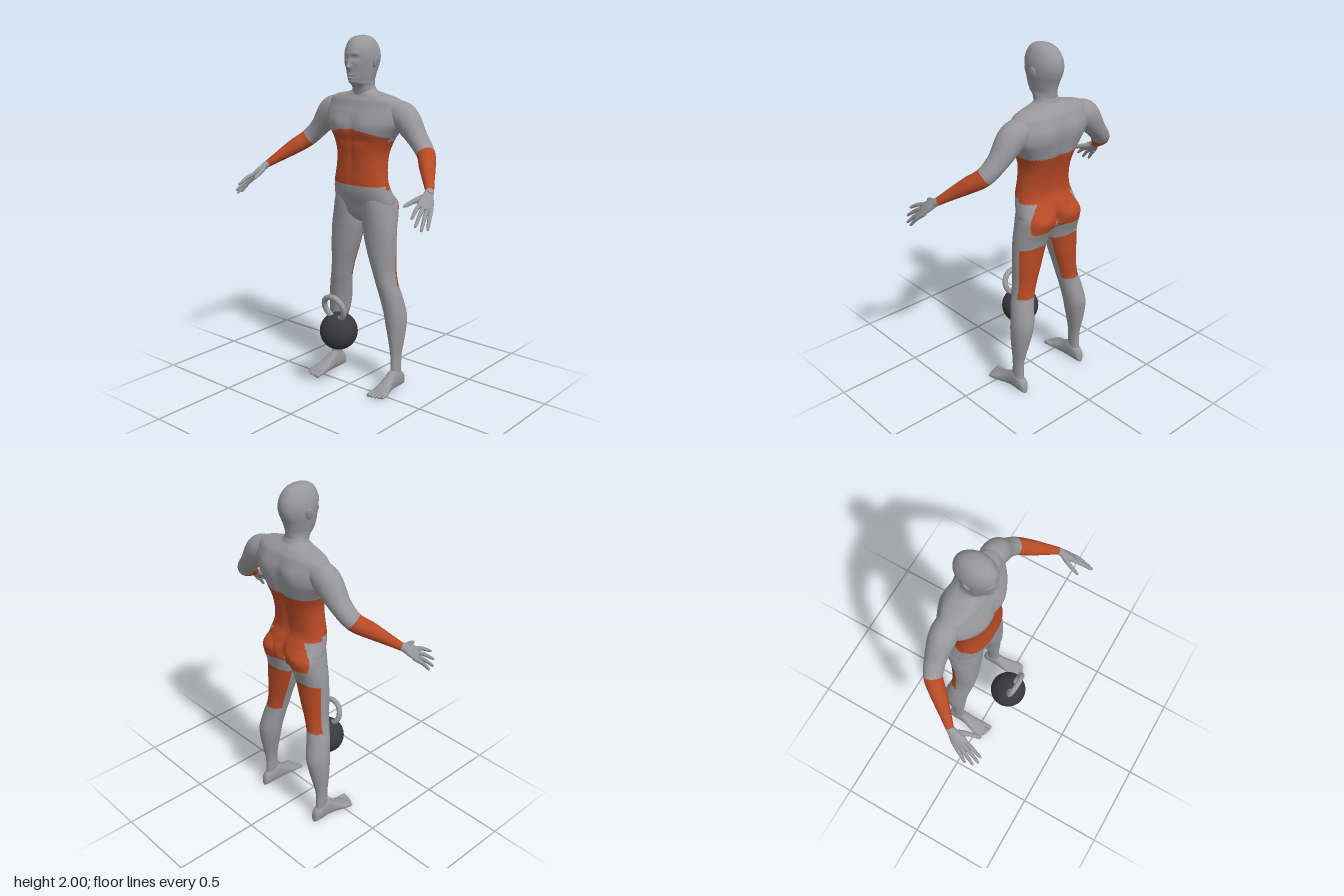
import * as THREE from 'three';

const skin = new THREE.MeshStandardMaterial({ color: 0x98989b, name: 'greySkin' });
const red = new THREE.MeshStandardMaterial({ color: 0xb84a26, name: 'redMuscle' });
const iron = new THREE.MeshStandardMaterial({ color: 0x3a3a3e, name: 'darkIron' });
const steel = new THREE.MeshStandardMaterial({ color: 0x9c9c9e, name: 'handleSteel' });

const V = (x, y, z) => new THREE.Vector3(x, y, z);
const gauss = (d, s) => Math.exp(-(d * d) / (s * s));
const spow = (v, n) => Math.sign(v) * Math.abs(v) ** (2 / n);

// Catmull-Rom sample of a table of rows at row position t
function sample(rows, t) {
  const i = Math.min(Math.floor(t), rows.length - 2), f = t - i;
  const row = k => rows[Math.max(0, Math.min(rows.length - 1, k))];
  const [a, b, c, d] = [row(i - 1), row(i), row(i + 1), row(i + 2)];
  return b.map((_, k) => b[k] + 0.5 * f * (c[k] - a[k]
    + f * (2 * a[k] - 5 * b[k] + 4 * c[k] - d[k] + f * (3 * (b[k] - c[k]) + d[k] - a[k]))));
}

// Skin rings placed by frame(row, t); u x v must point along the loft
function loft(rows, frame, { seg = 48, steps = 8, shape, paint } = {}) {
  const pos = [], ts = [], lists = [[], []];
  const count = (rows.length - 1) * steps;
  const ends = [];
  for (let k = 0; k <= count; k++) {
    const t = k / steps, { c, u, v, n = 2, taper = 0 } = frame(sample(rows, t), t);
    if (k === 0 || k === count) ends.push(c);
    for (let j = 0; j < seg; j++) {
      const a = j / seg * Math.PI * 2, s = Math.sin(a);
      const w = spow(Math.cos(a), n) * (1 - taper * Math.max(0, s));
      const p = c.clone().addScaledVector(u, w).addScaledVector(v, spow(s, n));
      if (shape) shape(p, s);
      pos.push(p.x, p.y, p.z);
      ts.push(t);
    }
  }
  for (const e of ends) { pos.push(e.x, e.y, e.z); ts.push(0); }
  const tri = (...ids) => {
    const mid = V(0, 0, 0);
    let t = 0;
    for (const i of ids) { mid.add(V(pos[3 * i], pos[3 * i + 1], pos[3 * i + 2])); t += ts[i] / 3; }
    lists[paint && paint(mid.divideScalar(3), t) ? 1 : 0].push(...ids);
  };
  const first = (count + 1) * seg, last = count * seg;
  for (let j = 0; j < seg; j++) {
    const m = (j + 1) % seg;
    for (let k = 0; k < count; k++) {
      const a = k * seg + j, b = k * seg + m;
      tri(a, b, b + seg);
      tri(a, b + seg, a + seg);
    }
    tri(first, m, j);
    tri(first + 1, last + j, last + m);
  }
  const g = new THREE.BufferGeometry();
  g.setAttribute('position', new THREE.Float32BufferAttribute(pos, 3));
  g.setIndex([...lists[0], ...lists[1]]);
  g.addGroup(0, lists[0].length, 0);
  g.addGroup(lists[0].length, lists[1].length, 1);
  g.computeVertexNormals();
  return g;
}

// Upright body part: rows of [y, half width, front z, back z, squareness, front taper, centre x]
const upright = ([y, hw, zf, zb, n = 2, taper = 0, cx = 0]) => ({
  c: V(cx, y, (zf + zb) / 2), u: V(hw, 0, 0), v: V(0, 0, (zf - zb) / 2), n, taper });

// Limb along a path: rows of [x, y, z, radius across, radius through]
function limb(rows, across, opts) {
  const at = t => V(...sample(rows, Math.max(0, Math.min(rows.length - 1, t))));
  return loft(rows, ([x, y, z, ru, rv], t) => {
    const dir = at(t + 0.05).sub(at(t - 0.05)).normalize();
    const u = across.clone().addScaledVector(dir, -across.dot(dir)).normalize();
    return { c: V(x, y, z), u: u.clone().multiplyScalar(ru), v: dir.cross(u).multiplyScalar(rv) };
  }, opts);
}

function mirrored(g) {
  const m = g.clone().scale(-1, 1, 1), id = m.index.array;
  for (let i = 0; i < id.length; i += 3) [id[i], id[i + 1]] = [id[i + 1], id[i]];
  m.computeVertexNormals();
  return m;
}

// Red zones
const buttock = p => p.y > 1.01 && p.y < 1.2 && p.z < -0.19 - 0.15 * (1.16 - p.y);
const waist = p => p.y > (p.z > -0.1 ? 1.19 : 1.17)
  && p.y < (p.z > -0.1 ? 1.5 - 1.1 * p.x * p.x : 1.435);
const hamstring = p => p.z < -0.145 && p.y > 0.61 && p.y < 0.92 - 1.5 * (p.x - 0.12) ** 2;

export function createModel() {
  const model = new THREE.Group();
  const add = (name, geometry, material = skin) => {
    const mesh = new THREE.Mesh(geometry, material);
    mesh.name = name;
    model.add(mesh);
    return mesh;
  };
  const pair = (name, g, material = skin) => {
    add('left' + name, g, material);
    add('right' + name, mirrored(g), material);
  };

  // Torso with chest, spine groove and buttock cleft
  const torso = [
    [1.74, .058, -.062, -.176, 2], [1.705, .072, -.065, -.19, 2], [1.69, .12, -.065, -.205, 2],
    [1.675, .19, -.06, -.22, 2], [1.655, .235, -.048, -.238, 2], [1.62, .255, -.035, -.252, 2],
    [1.58, .262, -.018, -.263, 2.1], [1.53, .248, -.004, -.263, 2.3], [1.48, .212, 0, -.254, 2.4],
    [1.43, .18, -.004, -.243, 2.4], [1.36, .157, -.01, -.22, 2.4], [1.28, .158, -.01, -.2, 2.4],
    [1.2, .17, -.006, -.195, 2.4], [1.14, .182, -.012, -.222, 2.4], [1.08, .192, -.03, -.25, 2.3],
    [1.02, .175, -.045, -.238, 2.1], [.985, .1, -.07, -.19, 2], [.965, .03, -.1, -.16, 2]];
  add('torso', loft(torso, upright, {
    seg: 112, steps: 7, paint: p => waist(p) || buttock(p),
    shape: (p, s) => {
      const x = Math.abs(p.x);
      if (s < 0) {
        p.z -= s * (.016 * gauss(x, .03) * gauss(p.y - 1.38, .22) + .045 * gauss(x, .022) * gauss(p.y - 1.05, .06));
        p.z += s * .01 * gauss(x - .1, .05) * gauss(p.y - 1.57, .07);
      } else {
        p.z += s * (.01 * gauss(x - .09, .06) * gauss(p.y - 1.52, .05) - .007 * gauss(x, .015) * gauss(p.y - 1.42, .16));
        p.z -= s * .007 * gauss(x - .07, .07) * gauss(p.y - 1.44, .025);
      }
    },
  }), [skin, red]);

  // Head and neck with brow, eye sockets, nose, lips and chin
  const head = [
    [2, .004, -.09, -.11, 2, 0], [1.995, .03, -.055, -.145, 2, 0], [1.985, .047, -.03, -.17, 2, 0],
    [1.965, .063, -.01, -.195, 2, 0], [1.93, .077, .006, -.216, 2, 0], [1.89, .083, .01, -.222, 2.1, .05],
    [1.85, .081, .007, -.215, 2.1, .12], [1.81, .074, .004, -.198, 2.1, .22], [1.78, .068, .001, -.188, 2.1, .3],
    [1.76, .064, -.003, -.184, 2, .35], [1.747, .063, -.014, -.182, 2, .3], [1.735, .062, -.037, -.181, 2, .15],
    [1.72, .062, -.053, -.18, 2, 0], [1.68, .066, -.065, -.185, 2, 0], [1.62, .07, -.08, -.2, 2, 0]];
  // [x, y, spread x, spread y, height]
  const face = [[0, 1.836, .013, .012, .019], [0, 1.858, .009, .022, .012], [.03, 1.884, .017, .011, -.013],
    [.031, 1.884, .009, .006, .007], [.03, 1.908, .024, .009, .004], [0, 1.793, .022, .006, .006],
    [0, 1.776, .02, .006, .006], [0, 1.784, .024, .003, -.005], [0, 1.755, .02, .01, .006], [.045, 1.853, .018, .014, .004]];
  add('head', loft(head, upright, {
    seg: 96, steps: 9,
    shape: (p, s) => {
      if (s <= 0) return;
      let dz = 0;
      for (const [x, y, sx, sy, h] of face) dz += h * gauss(Math.abs(p.x) - x, sx) * gauss(p.y - y, sy);
      p.z += dz * Math.min(1, s * 2);
    },
  }));
  const ear = new THREE.SphereGeometry(1, 20, 14).scale(.009, .034, .02).rotateZ(-.2).rotateY(.35).rotateX(-.15);
  pair('Ear', ear.translate(.086, 1.862, -.112));

  // Legs: rows of [y, inner x, outer x, front z, back z]
  const leg = [
    [1.14, .012, .168, -.035, -.205], [1.08, .006, .192, -.032, -.255], [1.02, .004, .203, -.035, -.245],
    [.96, .008, .212, -.038, -.22], [.9, .02, .216, -.04, -.205], [.8, .05, .217, -.042, -.2],
    [.7, .085, .217, -.05, -.195], [.62, .108, .228, -.06, -.195], [.55, .123, .248, -.073, -.208],
    [.45, .142, .265, -.088, -.23], [.38, .155, .268, -.094, -.225], [.3, .175, .262, -.1, -.21],
    [.2, .195, .251, -.108, -.188], [.12, .2, .249, -.107, -.185], [.05, .2, .25, -.1, -.19]];
  pair('Leg', loft(leg.map(([y, a, b, zf, zb]) => [y, (b - a) / 2, zf, zb, 2.1, 0, (a + b) / 2]), upright,
    { seg: 64, steps: 10, paint: p => buttock(p) || hamstring(p) }), [skin, red]);

  // Feet, heel to ball: rows of [z, centre x, half width, top y]
  const foot = [
    [-.212, .225, .006, .03], [-.208, .225, .018, .058], [-.19, .225, .027, .085], [-.15, .225, .03, .11],
    [-.11, .225, .031, .112], [-.075, .227, .035, .088], [-.03, .232, .043, .06], [.01, .237, .05, .042],
    [.035, .239, .05, .03], [.045, .239, .044, .022]];
  pair('Foot', loft(foot, ([z, x, hw, top]) => (
    { c: V(x, top / 2, z), u: V(hw, 0, 0), v: V(0, top / 2, 0), n: 2.4 }), { seg: 36, steps: 5 }));
  for (let i = 0; i < 5; i++) {
    const r = i ? .0095 - i * .0004 : .013, x = i ? .2 + i * .0195 : .197, tip = .077 - i * i * .0016;
    pair('Toe' + (i + 1), limb([[x, .02, .01, r, r], [x, .017, tip - .025, r, r], [x, .013, tip - .006, r, r * .9],
      [x, .012, tip, r * .4, r * .4]], V(1, 0, 0), { seg: 14, steps: 4 }));
  }

  // Arms, red from elbow (row 4) to wrist (row 7)
  const arm = [
    [.17, 1.595, -.15, .055, .06], [.21, 1.592, -.15, .072, .07], [.268, 1.56, -.15, .078, .072],
    [.35, 1.467, -.145, .055, .058], [.42, 1.397, -.122, .049, .05], [.475, 1.347, -.06, .044, .044],
    [.53, 1.295, .005, .032, .032], [.577, 1.25, .06, .021, .023], [.587, 1.236, .08, .02, .024]];
  pair('Arm', limb(arm, V(.7, .7, 0), { seg: 48, steps: 10, paint: (p, t) => t > 4 && t < 7 }), [skin, red]);

  // Hands: palm, four fingers and a thumb
  const across = V(.045, -.035, -.035);
  pair('Palm', limb([[.574, 1.254, .053, .02, .018], [.584, 1.238, .078, .026, .019], [.598, 1.212, .112, .039, .018],
    [.61, 1.188, .143, .043, .014], [.615, 1.178, .157, .036, .009]], across, { seg: 28, steps: 5 }));
  const tips = [[.615, 1.15, .264], [.637, 1.112, .262], [.656, 1.088, .238], [.666, 1.088, .197]];
  tips.forEach((tip, i) => {
    const base = V(.59 + i * .014, 1.202 - i * .012, .155 - i * .01), end = V(...tip);
    const along = (f, r) => {
      const p = base.clone().lerp(end, f);
      return [p.x, p.y + .008 * Math.sin(f * Math.PI), p.z, r, r];
    };
    pair('Finger' + (i + 1), limb([along(-.15, .011), along(.1, .0115), along(.5, .0105), along(.93, .0075),
      along(1, .003)], across, { seg: 14, steps: 4 }));
  });
  pair('Thumb', limb([[.582, 1.235, .085, .014, .014], [.564, 1.22, .125, .016, .015], [.546, 1.208, .165, .012, .011],
    [.535, 1.195, .205, .009, .009], [.531, 1.19, .219, .003, .003]], across, { seg: 16, steps: 5 }));

  // Hanging weight with a forward-leaning ring handle
  add('weightBall', new THREE.SphereGeometry(.108, 48, 32), iron).position.set(-.005, .36, .092);
  const ring = add('weightHandle', new THREE.TorusGeometry(.07, .016, 16, 56), steel);
  ring.position.set(0, .51, .137);
  ring.rotation.x = .28;

  return model;
}
